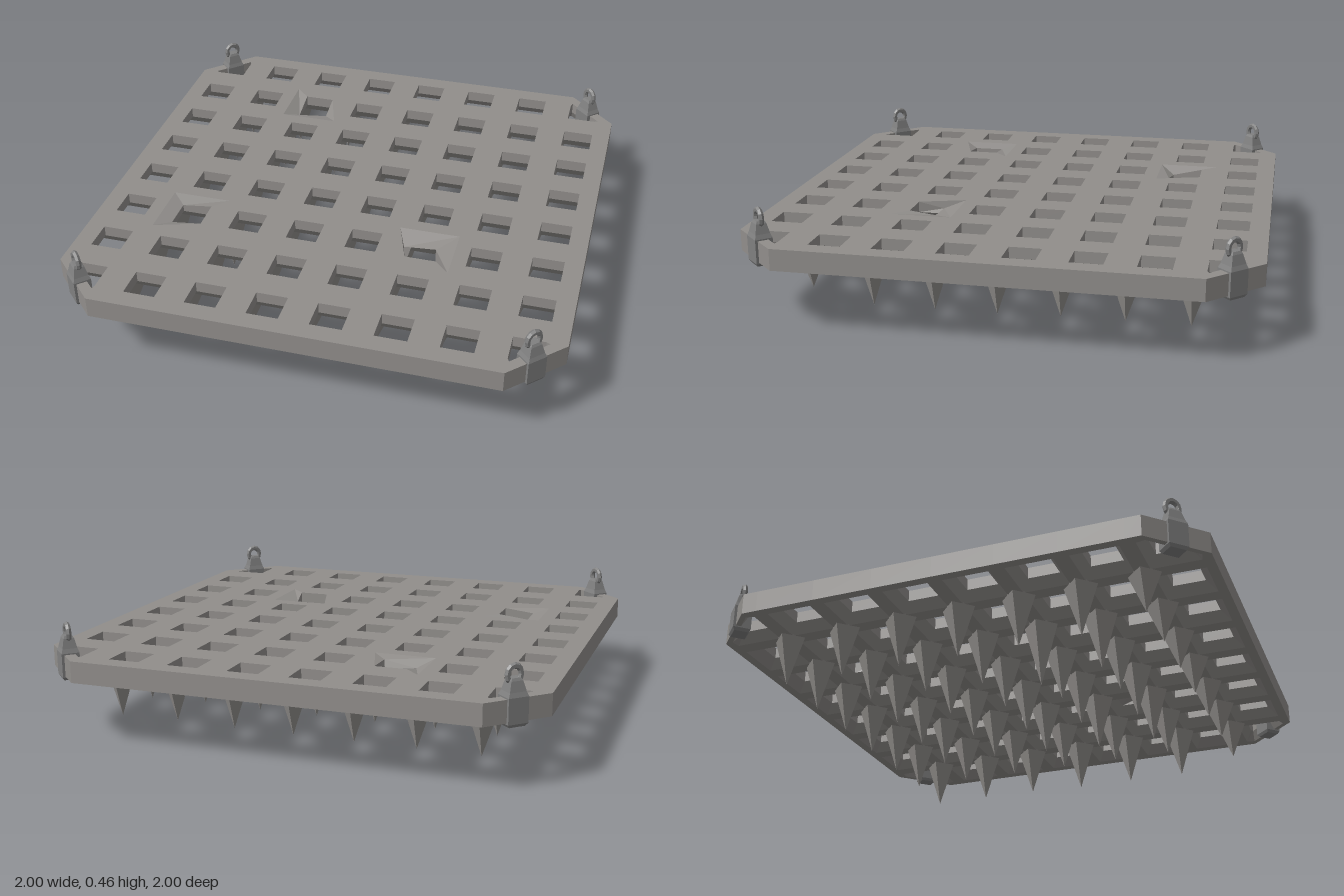
import * as THREE from 'three';

const steel = new THREE.MeshStandardMaterial({ color: 0x918e8b });
steel.name = 'warm grey steel';
steel.flatShading = true;
const iron = new THREE.MeshStandardMaterial({ color: 0x808080 });
iron.name = 'grey iron';
iron.flatShading = true;

const TOP = 0.34, BOTTOM = 0.255, STEP = 0.246, HOLE = 0.063;

// Battered cells: hole-corner offsets, corners in the order -x-z, -x+z, +x+z, +x-z
const dents = {
  '2,1': { 1: [0, -0.03, 0], 2: [0.006, -0.01, 0.01] },
  '1,5': { 0: [0, -0.015, 0], 1: [0, -0.015, 0] },
  '5,5': { 0: [-0.025, -0.03, 0.025], 3: [-0.02, -0.02, 0.025] },
};

// Stitches a cell's rings: top face, hole wall, bevel, underside, and outer wall at the rim
function addCell(out, outer, hole, dent = {}) {
  const n = outer.length;
  const at = (p, y) => [p[0], y, p[1]];
  const rings = [
    outer.map((p) => at(p, TOP)),
    hole.map((p, i) => at(p, TOP).map((v, k) => v + (dent[i] ? dent[i][k] : 0))),
    hole.map((p) => at(p, 0.295)),
    hole.map((p, i) => at([(p[0] + outer[i][0]) / 2, (p[1] + outer[i][1]) / 2], BOTTOM)),
    outer.map((p) => at(p, BOTTOM)),
  ];
  const onRim = (a, b) =>
    [0, 1].some((k) => Math.abs(a[k]) === 1 && a[k] === b[k]) ||
    [a, b].every((p) => Math.abs(Math.abs(p[0]) + Math.abs(p[1]) - 1.8) < 1e-6);
  for (let r = 0; r < 5; r++) {
    for (let i = 0; i < n; i++) {
      const j = (i + 1) % n;
      if (r === 4 && !onRim(outer[i], outer[j])) continue;
      const a = rings[r], b = rings[(r + 1) % 5];
      out.push(...a[i], ...a[j], ...b[j], ...a[i], ...b[j], ...b[i]);
    }
  }
}

function makeGrate() {
  const line = (i) => (i === 0 ? -1 : i === 8 ? 1 : (i - 4) * STEP);
  const rect = (x0, x1, z0, z1) => [[x0, z0], [x0, z1], [x1, z1], [x1, z0]];
  const e = 3 * STEP;
  const pos = [];
  for (let i = 0; i < 8; i++) {
    for (let j = 0; j < 8; j++) {
      const edgeX = i === 0 || i === 7, edgeZ = j === 0 || j === 7;
      if (edgeX && edgeZ) {
        // Cut-off corner with a triangular opening behind the diagonal bar
        const sx = i ? 1 : -1, sz = j ? 1 : -1;
        const mirror = (list) => {
          const m = list.map(([x, z]) => [x * sx, z * sz]);
          return sx * sz < 0 ? m.reverse() : m;
        };
        addCell(pos,
          mirror([[e, e], [e, 1], [0.8, 1], [1, 0.8], [1, e]]),
          mirror([[0.798, 0.798], [0.798, 0.92], [0.805, 0.935], [0.935, 0.805], [0.92, 0.798]]));
      } else {
        const x = (i - 3.5) * STEP, z = (j - 3.5) * STEP;
        addCell(pos,
          rect(line(i), line(i + 1), line(j), line(j + 1)),
          rect(x - HOLE, x + HOLE, z - HOLE, z + HOLE), dents[i + ',' + j]);
      }
    }
  }
  const g = new THREE.BufferGeometry();
  g.setAttribute('position', new THREE.Float32BufferAttribute(pos, 3));
  g.computeVertexNormals();
  const mesh = new THREE.Mesh(g, steel);
  mesh.name = 'grate';
  return mesh;
}

// Four-sided spikes of uneven length under every crossing
function makeSpikes() {
  const group = new THREE.Group();
  group.name = 'spikes';
  const tipX = [0.05, 0, 0.05, 0.04, 0.03, 0.06, 0.045];
  const tipZ = [0.055, 0.055, 0.055, 0.045, 0, 0.03, 0.1];
  for (let i = 0; i < 7; i++) {
    for (let j = 0; j < 7; j++) {
      const tip = Math.max(tipX[i], tipZ[j]);
      const h = 0.285 - tip;
      const g = new THREE.ConeGeometry(0.077, h, 4, 1, true);
      g.rotateX(Math.PI);
      const spike = new THREE.Mesh(g, steel);
      spike.name = 'spike';
      spike.position.set((i - 3) * STEP, tip + h / 2, (j - 3) * STEP);
      group.add(spike);
    }
  }
  return group;
}

// Clamp gripping a corner bar, with a lifting eye on top
function makeClamp() {
  const group = new THREE.Group();
  group.name = 'cornerClamp';
  const profile = [[0, 0.238], [0.033, 0.238], [0.041, 0.25], [0.041, 0.345], [0.034, 0.362],
    [0.024, 0.4], [0.018, 0.41], [0, 0.41]]
    .map(([r, y]) => new THREE.Vector2(r * Math.SQRT2, y));
  const body = new THREE.Mesh(
    new THREE.LatheGeometry(profile, 4, Math.PI / 4).scale(1, 1, 0.85), iron);
  body.name = 'clampBody';
  const eye = new THREE.Mesh(new THREE.TorusGeometry(0.028, 0.011, 6, 12), iron);
  eye.name = 'liftingEye';
  eye.scale.y = 1.1;
  eye.position.y = 0.42;
  group.add(body, eye);
  return group;
}

export function createModel() {
  const model = new THREE.Group();
  model.name = 'spikedGrate';
  model.add(makeGrate(), makeSpikes());
  for (const sx of [-1, 1]) {
    for (const sz of [-1, 1]) {
      const clamp = makeClamp();
      clamp.position.set(0.88 * sx, 0, 0.885 * sz);
      clamp.rotation.y = Math.atan2(sx, sz);
      model.add(clamp);
    }
  }
  return model;
}
